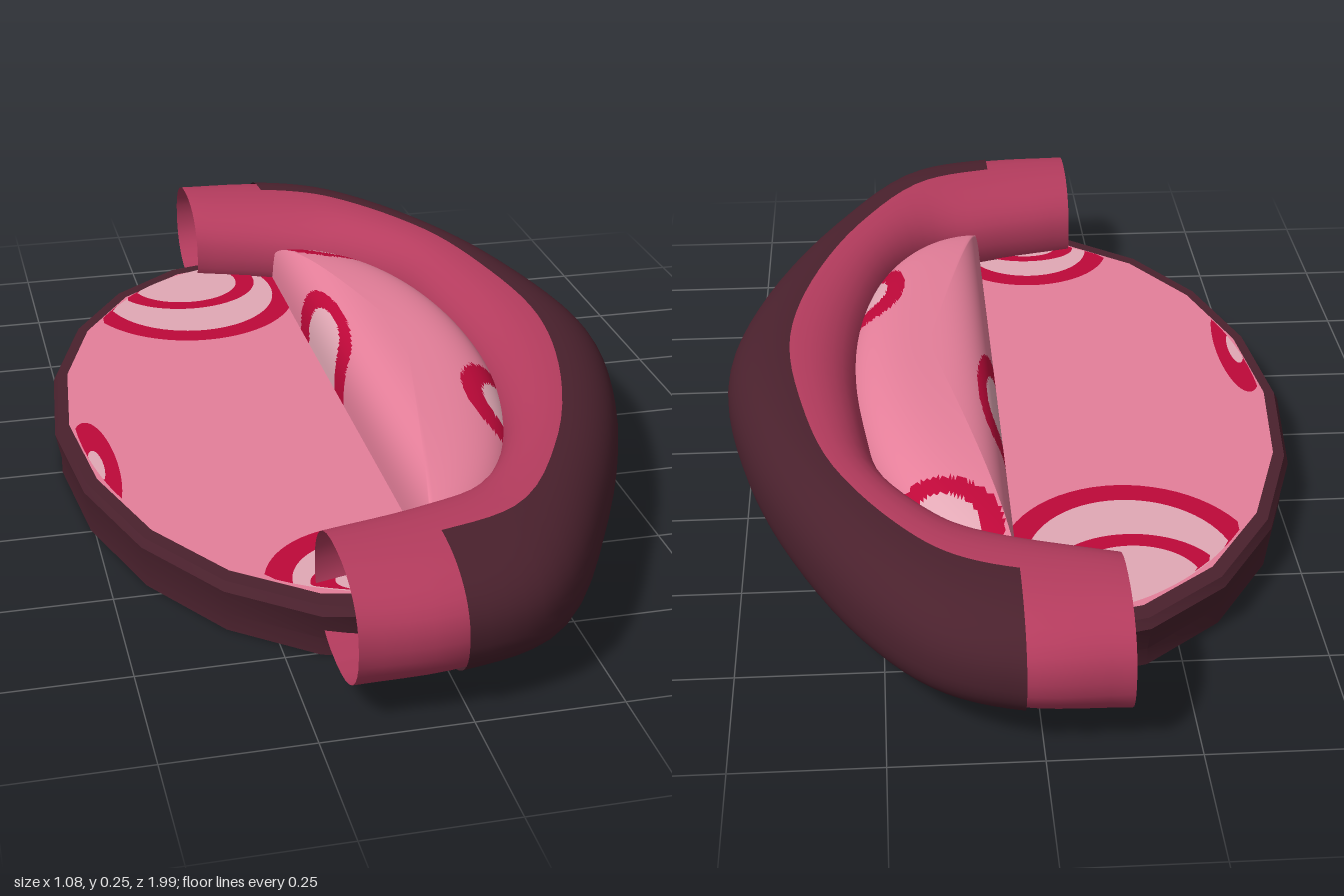
import * as THREE from 'three';
import { toCreasedNormals } from 'three/addons/utils/BufferGeometryUtils.js';

const material = (name, color, side = THREE.FrontSide) => {
  const m = new THREE.MeshStandardMaterial({ color, side });
  m.name = name;
  return m;
};

function surface(pos, index) {
  const g = new THREE.BufferGeometry();
  g.setAttribute('position', new THREE.Float32BufferAttribute(pos, 3));
  g.setIndex(index);
  g.computeVertexNormals();
  return g;
}

// Bolster stations: inner x, inner z, outer x, outer z
const STATIONS = [
  [-0.186, 0.685, -0.186, 0.998], [-0.01, 0.635, -0.01, 0.995], [0.11, 0.58, 0.16, 0.935],
  [0.20, 0.45, 0.345, 0.64], [0.26, 0.22, 0.487, 0.29], [0.28, 0, 0.54, 0],
  [0.27, -0.22, 0.497, -0.29], [0.235, -0.43, 0.415, -0.54], [0.14, -0.57, 0.285, -0.80],
  [0.10, -0.60, 0.165, -0.94], [0.03, -0.635, 0.03, -0.998], [-0.14, -0.70, -0.14, -1.0],
];
const curveOf = (k) => new THREE.CatmullRomCurve3(
  STATIONS.map((s) => new THREE.Vector3(s[k], 0, s[k + 1])), false, 'centripetal');
const innerCurve = curveOf(0);
const outerCurve = curveOf(2);

// Lofts a part of the bolster between two stations and two section angles
function bolster(u0, u1, a0, a1, size) {
  const nu = 48, na = 32, pos = [], index = [];
  const soft = (v) => Math.sign(v) * Math.abs(v) ** 0.88;
  for (let i = 0; i <= nu; i++) {
    const u = (u0 + (u1 - u0) * i / nu) / (STATIONS.length - 1);
    const p = innerCurve.getPoint(u), q = outerCurve.getPoint(u);
    for (let j = 0; j <= na; j++) {
      const a = THREE.MathUtils.degToRad(a0 + (a1 - a0) * j / na);
      const v = p.clone().lerp(q, 0.5 + 0.5 * size * soft(Math.cos(a)));
      pos.push(v.x, 0.145 + 0.107 * size * soft(Math.sin(a)), v.z);
      if (i < nu && j < na) {
        const k = i * (na + 1) + j, n = k + na + 1;
        index.push(k, n, k + 1, n, n + 1, k + 1);
      }
    }
  }
  return surface(pos, index);
}

// Flat oval band between two scales, cut off where inside(x, z) fails
function ovalBand(cx, cz, rx, rz, from, to, y, inside) {
  const n = 64, pos = [], index = [];
  for (let i = 0; i <= n; i++) {
    const a = i / n * Math.PI * 2, dx = Math.cos(a) * rx, dz = Math.sin(a) * rz;
    let lo = 0, hi = 1;
    if (inside(cx + dx, cz + dz)) lo = 1;
    else for (let k = 0; k < 20; k++) {
      const m = (lo + hi) / 2;
      if (inside(cx + dx * m, cz + dz * m)) lo = m; else hi = m;
    }
    for (const s of [from, to]) {
      const t = Math.min(s, lo);
      pos.push(cx + dx * t, y, cz + dz * t);
    }
    if (i < n) {
      const k = i * 2;
      index.push(k, k + 2, k + 1, k + 2, k + 3, k + 1);
    }
  }
  const g = surface(pos, index);
  g.setAttribute('normal', new THREE.Float32BufferAttribute(pos.map((_, i) => (i % 3 === 1 ? 1 : 0)), 3));
  return g;
}

// Domed D-shaped pillow; colourAt(x, z) picks the material group of each face
function pillow(colourAt) {
  const n = 240, rings = 40, cx = 0.15, pos = [], faces = [[], [], []];
  for (let i = 0; i <= n; i++) {
    // Outline: straight edge first, then the half oval
    const t = i / n * 2, a = Math.PI * (1.5 - t);
    const bx = t < 1 ? 0.02 : 0.02 + 0.29 * Math.cos(a);
    const bz = t < 1 ? -0.67 + 1.34 * t : 0.67 * Math.sin(a);
    for (let j = 0; j <= rings; j++) {
      const r = Math.sin(j / rings * Math.PI / 2);
      pos.push(cx + (bx - cx) * r, 0.1 + 0.135 * Math.cbrt(1 - r ** 3), bz * r);
    }
  }
  const addFace = (...f) => {
    const mid = (axis) => f.reduce((sum, k) => sum + pos[k * 3 + axis], 0) / 3;
    faces[colourAt(mid(0), mid(2))].push(...f);
  };
  for (let i = 0; i < n; i++) for (let j = 0; j < rings; j++) {
    const k = i * (rings + 1) + j, m = k + rings + 1;
    addFace(k, k + 1, m);
    addFace(m, k + 1, m + 1);
  }
  const g = surface(pos, faces.flat());
  let start = 0;
  faces.forEach((f, i) => {
    g.addGroup(start, f.length, i);
    start += f.length;
  });
  return g;
}

export function createModel() {
  const group = new THREE.Group();
  const dark = material('dark maroon fabric', 0x4a212d);
  const darkShell = material('dark maroon cover', 0x4a212d, THREE.DoubleSide);
  const rose = material('rose bolster fabric', 0xb53c5e, THREE.DoubleSide);
  const pink = material('pink cushion fabric', 0xe57f9a, THREE.DoubleSide);
  const pale = material('pale pink print', 0xe2a8b5, THREE.DoubleSide);
  const red = material('crimson print', 0xbe0839, THREE.DoubleSide);
  const add = (name, geometry, mat) => {
    const mesh = new THREE.Mesh(geometry, mat);
    mesh.name = name;
    group.add(mesh);
  };

  // Oval base with a soft rim
  const profile = [[0, 0.003], [0.98, 0.003], [0.98, 0.035], [1, 0.085], [0.985, 0.1], [0.94, 0.1], [0, 0.1]]
    .map(([x, y]) => new THREE.Vector2(x, y));
  const base = new THREE.LatheGeometry(profile, 20).scale(0.504, 1, 0.81).translate(-0.037, 0, 0);
  add('base', toCreasedNormals(base, 0.5), dark);

  // Flat sleeping cushion
  const floor = new THREE.CircleGeometry(1, 20).rotateX(-Math.PI / 2)
    .scale(0.475, 1, 0.762).translate(-0.038, 0.102, 0);
  add('cushion', floor, pink);

  // Raised pillow with printed rings: centre x, centre z, radius x, radius z, inner edge of the band
  const pillowRings = [
    [0.02, -0.16, 0.042, 0.19, 0.6],
    [0.27, 0.30, 0.08, 0.155, 0.55],
    [0.17, -0.595, 0.13, 0.13, 0.70],
  ];
  const colourAt = (x, z) => {
    for (const [cx, cz, rx, rz, edge] of pillowRings) {
      const d = Math.hypot((x - cx) / rx, (z - cz) / rz);
      if (d < 1) return d > edge ? 2 : 1;
    }
    return 0;
  };
  add('pillow', pillow(colourAt), [pink, pale, red]);

  // Bolster roll with an outer cover
  add('bolster', bolster(0, STATIONS.length - 1, -90, 270, 0.97), rose);
  add('bolsterCover', bolster(1, STATIONS.length - 2, -125, 88, 1), darkShell);

  // Printed rings on the flat cushion, the last value being the layer
  const onFloor = (x, z) => x < 0.03 && ((x + 0.038) / 0.47) ** 2 + (z / 0.753) ** 2 < 0.985;
  const floorRings = [
    [-0.18, -0.60, 0.23, 0.26, 0.80, 0],
    [-0.18, -0.655, 0.155, 0.145, 0.74, 1],
    [-0.485, 0.19, 0.04, 0.19, 0.35, 0],
    [-0.09, 0.70, 0.18, 0.185, 0.74, 0],
    [-0.09, 0.70, 0.105, 0.065, 0.6, 1],
  ];
  for (const [cx, cz, rx, rz, edge, layer] of floorRings) {
    const y = 0.104 + layer * 0.002;
    add('printBand', ovalBand(cx, cz, rx, rz, edge, 1, y, onFloor), red);
    add('printCentre', ovalBand(cx, cz, rx, rz, 0, edge, y, onFloor), pale);
  }
  return group;
}
